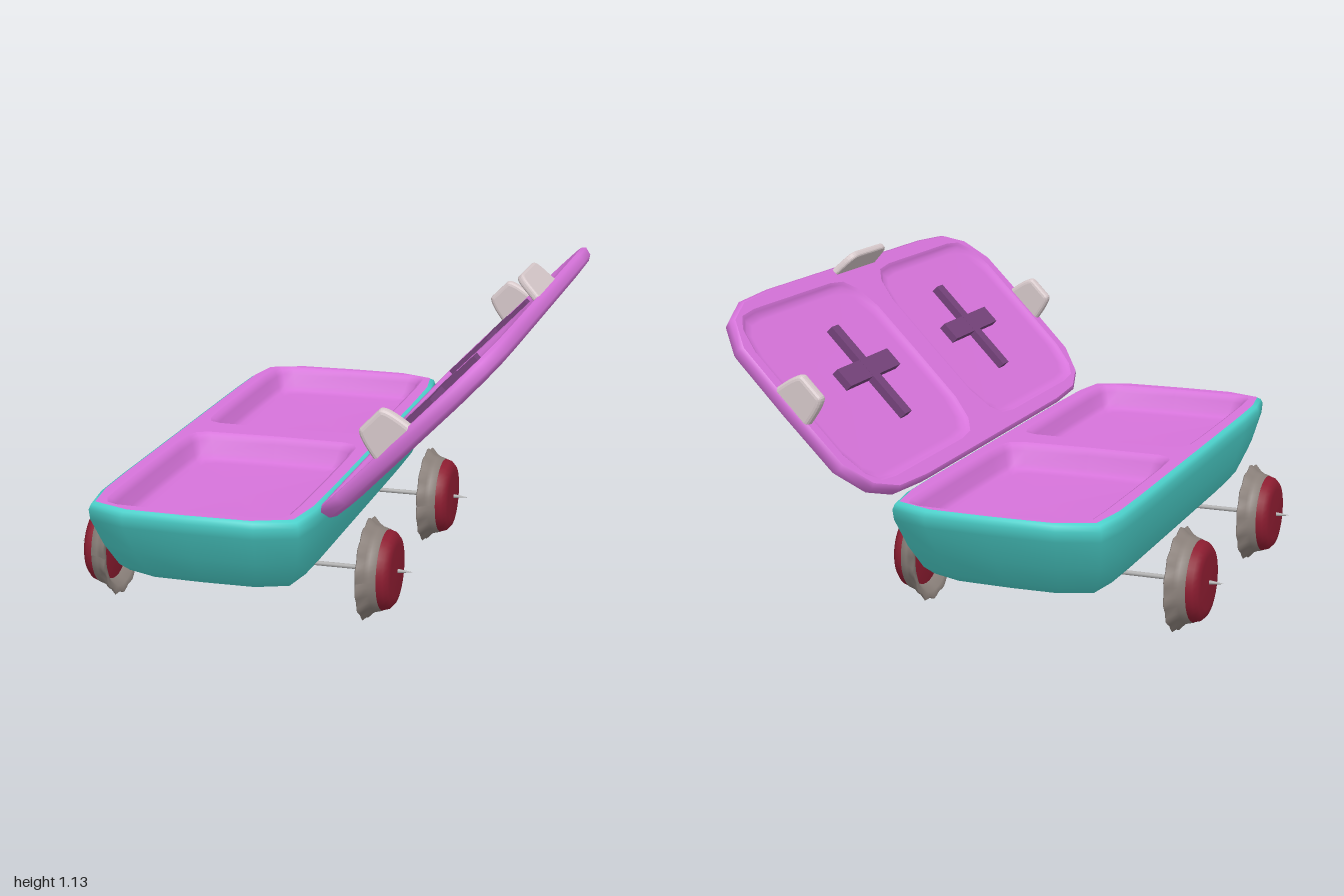
import * as THREE from 'three';

const mat = (color, side = THREE.FrontSide) => new THREE.MeshStandardMaterial({ color, side });
const TEAL = mat(0x4cd2cc), PURPLE = mat(0xd673da), DARK = mat(0x74427a);
const LATCH = mat(0xd6c8ca), GREY = mat(0x8a807a), RED = mat(0x8c1c30), STEEL = mat(0xb0b0b0);

// Quarter outlines from (1,0) to (0,1), mirrored into full rings
const BODY = [[1, 0], [1, 0.6], [0.99, 0.8], [0.93, 0.945], [0.58, 0.995], [0, 1]];
const LID = [[1, 0], [1, 0.6], [0.97, 0.8], [0.85, 0.92], [0.6, 0.995], [0, 1]];
const POCKET = [[1, 0], [0.995, 0.6], [0.98, 0.85], [0.93, 0.945], [0.8, 0.985], [0, 1]];

function ring(quarter, hx, hz, cz = 0) {
  const pts = [], back = [...quarter].reverse();
  [[quarter, 1, 1], [back, -1, 1], [quarter, -1, -1], [back, 1, -1]].forEach(([q, sx, sz]) =>
    q.slice(0, -1).forEach(([x, z]) => pts.push([sx * x * hx, sz * z * hz + cz])));
  return pts;
}

// Skin over rings [y, halfX, halfZ] listed from top to bottom; inward turns it into a hollow
function loft(quarter, levels, cz = 0, inward = false) {
  const pos = [], idx = [];
  let n = 0;
  levels.forEach(([y, hx, hz]) => {
    const r = ring(quarter, hx, hz, cz);
    n = r.length;
    r.forEach(([x, z]) => pos.push(x, y, z));
  });
  for (let i = 0; i < levels.length - 1; i++) {
    for (let j = 0; j < n; j++) {
      const a = i * n + j, b = i * n + (j + 1) % n, c = a + n, d = b + n;
      if (inward) idx.push(a, c, b, b, c, d);
      else idx.push(a, b, c, b, d, c);
    }
  }
  const g = new THREE.BufferGeometry();
  g.setAttribute('position', new THREE.Float32BufferAttribute(pos, 3));
  g.setIndex(idx);
  g.computeVertexNormals();
  return g;
}

// Flat face with openings
function plate(outline, holes, y) {
  const vecs = (r) => r.map(([x, z]) => new THREE.Vector2(x, -z));
  const s = new THREE.Shape(vecs(outline));
  holes.forEach((h) => s.holes.push(new THREE.Path(vecs(h))));
  return new THREE.ShapeGeometry(s).rotateX(-Math.PI / 2).translate(0, y, 0);
}

// Rounded latch tab standing on y = 0
function tab(w, h, topW, t) {
  const s = new THREE.Shape();
  s.moveTo(-w, -0.02);
  s.lineTo(-w, 0);
  s.bezierCurveTo(-w * 0.9, h * 0.5, -topW * 1.15, h, -topW * 0.8, h);
  s.lineTo(topW * 0.8, h);
  s.bezierCurveTo(topW * 1.15, h, w * 0.9, h * 0.5, w, 0);
  s.lineTo(w, -0.02);
  const b = t * 0.35;
  return new THREE.ExtrudeGeometry(s, { depth: t - 2 * b, bevelThickness: b, bevelSize: b,
    bevelOffset: -b, bevelSegments: 3, curveSegments: 8 }).translate(0, 0, b - t / 2);
}

const lathe = (pts, seg) => new THREE.LatheGeometry(pts.map(([r, y]) => new THREE.Vector2(r, y)), seg);

export function createModel() {
  const model = new THREE.Group();
  const add = (parent, name, geo, material, x = 0, y = 0, z = 0) => {
    const m = new THREE.Mesh(geo, material);
    m.name = name;
    m.position.set(x, y, z);
    parent.add(m);
    return m;
  };
  const CX = -0.185;

  // Tub
  const base = new THREE.Group();
  base.name = 'base';
  base.position.x = CX;
  model.add(base);
  add(base, 'tub', loft(BODY, [[0.489, 0.35, 0.96], [0.482, 0.365, 0.97], [0.465, 0.372, 0.975],
    [0.43, 0.37, 0.968], [0.33, 0.347, 0.91], [0.25, 0.315, 0.857], [0.22, 0.292, 0.82],
    [0.203, 0.25, 0.775], [0.194, 0.18, 0.69], [0.191, 0, 0]]), TEAL);

  // Tray with two hollows
  const wells = [-0.5, 0.485];
  add(base, 'trayRim', plate(ring(BODY, 0.352, 0.962), wells.map((z) => ring(POCKET, 0.312, 0.44, z)), 0.49), PURPLE);
  wells.forEach((z) => add(base, 'trayHollow', loft(POCKET, [[0.49, 0.312, 0.44], [0.482, 0.3, 0.427],
    [0.465, 0.292, 0.417], [0.425, 0.28, 0.402], [0.408, 0.268, 0.388], [0.4, 0.245, 0.36],
    [0.4, 0, 0]], z, true), PURPLE));

  // Open lid, tilted about its hinge edge
  const lid = new THREE.Group();
  lid.name = 'lid';
  lid.position.set(0.468, 0.783, 0);
  lid.rotation.z = THREE.MathUtils.degToRad(45.8);
  model.add(lid);
  add(lid, 'lidShell', loft(LID, [[0, 0.4, 0.985], [-0.012, 0.412, 0.995], [-0.042, 0.405, 0.99],
    [-0.054, 0.388, 0.972], [-0.06, 0.35, 0.93], [-0.061, 0, 0]]), PURPLE);
  const panels = [-0.503, 0.497];
  add(lid, 'lidRim', plate(ring(LID, 0.4, 0.985), panels.map((z) => ring(LID, 0.355, 0.44, z)), 0), PURPLE);
  panels.forEach((z) => add(lid, 'lidPanel', loft(LID, [[0, 0.355, 0.44], [-0.006, 0.345, 0.43],
    [-0.015, 0.337, 0.418], [-0.018, 0.318, 0.395], [-0.018, 0, 0]], z, true), PURPLE));

  // Raised crosses inside the lid
  [-0.43, 0.43].forEach((z) => {
    add(lid, 'crossLong', new THREE.BoxGeometry(0.385, 0.03, 0.05), DARK, 0.005, -0.007, z);
    add(lid, 'crossShort', new THREE.BoxGeometry(0.072, 0.029, 0.375), DARK, 0.015, -0.007, z);
  });

  // Latch tabs
  add(lid, 'frontLatch', tab(0.155, 0.09, 0.12, 0.026).rotateY(Math.PI / 2), LATCH, 0.39, 0, 0);
  [-1, 1].forEach((s) => add(lid, 'endLatch', tab(0.078, 0.095, 0.052, 0.042), LATCH, 0, 0, s * 0.968));

  // Grey tyre flares out to a scalloped inner edge
  const tyre = lathe([[0.118, 0.035], [0.145, 0.004], [0.166, 0], [0.17, 0.004], [0.15, 0.026],
    [0.143, 0.04], [0.137, 0.062], [0.12, 0.066]], 56);
  const p = tyre.attributes.position;
  for (let i = 0; i < p.count; i++) {
    const x = p.getX(i), z = p.getZ(i), r = Math.hypot(x, z);
    const k = 1 + 0.03 * Math.cos(14 * Math.atan2(z, x)) * THREE.MathUtils.smoothstep(r, 0.138, 0.165);
    p.setXYZ(i, x * k, p.getY(i), z * k);
  }
  tyre.computeVertexNormals();
  const hub = lathe([[0, 0.03], [0.12, 0.03], [0.132, 0.05], [0.135, 0.064], [0.129, 0.084],
    [0.114, 0.098], [0.09, 0.102], [0, 0.104]], 32);
  const axle = lathe([[0, -0.59], [0.004, -0.565], [0.008, -0.53], [0.008, 0.53], [0.004, 0.565], [0, 0.59]], 12)
    .rotateZ(Math.PI / 2);

  // Axles with a wheel at each end
  [-0.415, 0.427].forEach((z) => {
    add(model, 'axle', axle, STEEL, CX, 0.176, z);
    [-1, 1].forEach((s) => {
      const wheel = new THREE.Group();
      wheel.name = 'wheel';
      wheel.position.set(CX + s * 0.435, 0.176, z);
      wheel.rotation.z = -s * Math.PI / 2;
      model.add(wheel);
      add(wheel, 'tyre', tyre, GREY);
      add(wheel, 'hub', hub, RED);
    });
  });
  return model;
}
